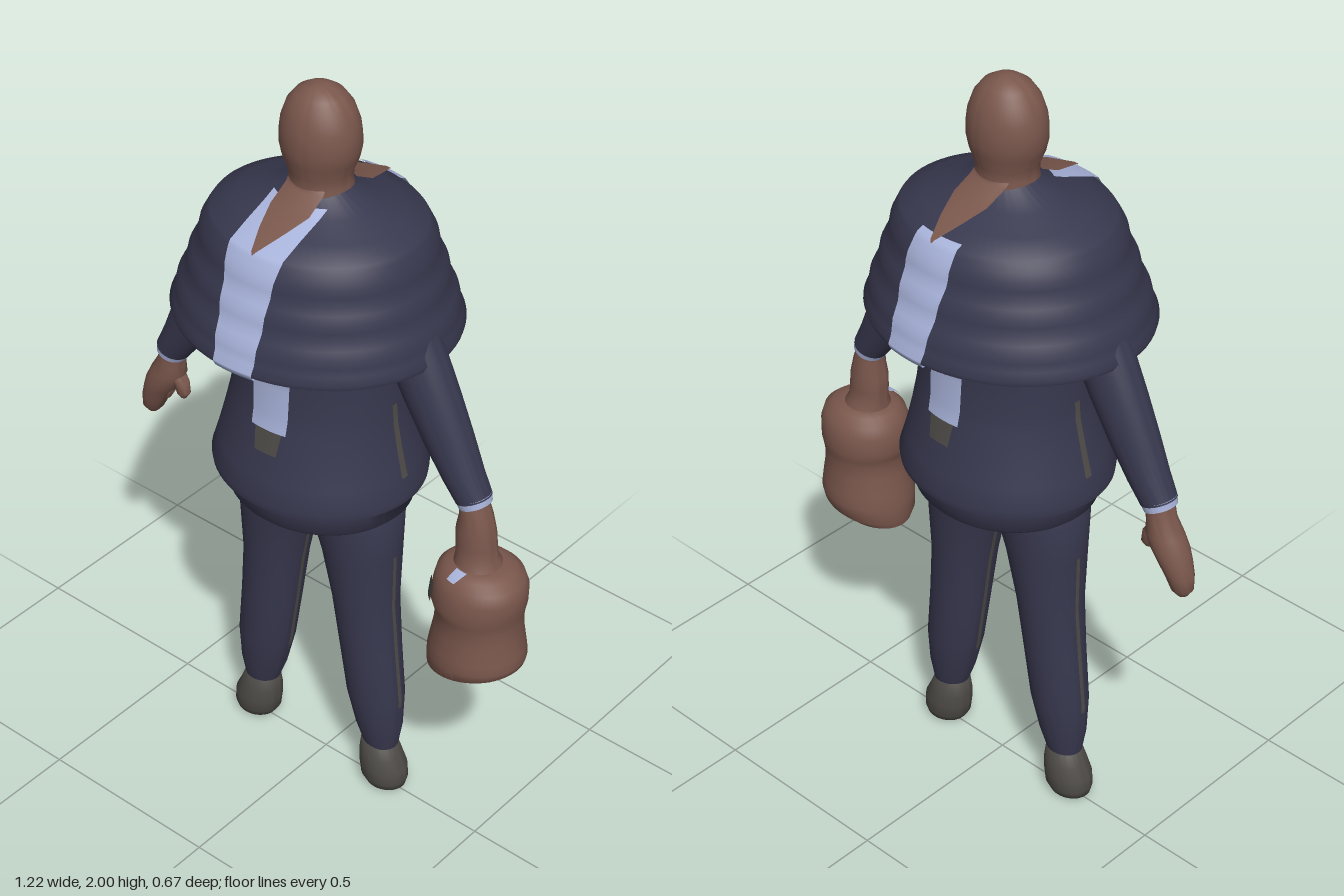
import * as THREE from 'three';
import { toCreasedNormals } from 'three/addons/utils/BufferGeometryUtils.js';

const material = (name, color) => new THREE.MeshStandardMaterial({ name, color, side: THREE.DoubleSide });

// Horizontal elliptical sections, top to bottom: [y, centreX, radiusX, radiusZ, tilt, centreZ]
function loft(rows, seg = 48) {
  const first = rows[0], last = rows[rows.length - 1];
  const all = [[first[0], first[1], 0.0005, 0.0005, first[4]], ...rows, [last[0], last[1], 0.0005, 0.0005, last[4]]];
  const pos = [], idx = [];
  all.forEach(([y, cx, rx, rz, tilt = 0, cz = 0]) => {
    for (let j = 0; j <= seg; j++) {
      const a = (j % seg) / seg * Math.PI * 2, dx = rx * Math.cos(a);
      pos.push(cx + dx, y + tilt * dx, cz + rz * Math.sin(a));
    }
  });
  for (let i = 0; i < all.length - 1; i++) for (let j = 0; j < seg; j++) {
    const a = i * (seg + 1) + j, b = a + seg + 1;
    idx.push(a + 1, b + 1, b, a + 1, b, a);
  }
  const g = new THREE.BufferGeometry();
  g.setAttribute('position', new THREE.Float32BufferAttribute(pos, 3));
  g.setIndex(idx);
  return toCreasedNormals(g, 0.75);
}

// Linear lookup in rows sorted by falling y
function sample(rows, y) {
  if (y >= rows[0][0]) return rows[0];
  for (let i = 1; i < rows.length; i++) if (y >= rows[i][0]) {
    const a = rows[i - 1], b = rows[i], t = (a[0] - y) / (a[0] - b[0]);
    return [0, 1, 2, 3].map(k => (a[k] ?? 0) + ((b[k] ?? 0) - (a[k] ?? 0)) * t);
  }
  return rows[rows.length - 1];
}

// Thin panel lying on a loft: bounds are [y, from, to] across x (axis z) or across z (axis x)
function panel(profile, bounds, axis, side, off = 0.005, n = 10) {
  const top = bounds[0][0], bottom = bounds[bounds.length - 1][0];
  const ys = [...new Set([...bounds, ...profile].map(r => r[0]))].filter(y => y <= top && y >= bottom).sort((a, b) => b - a);
  const pos = [], idx = [], e = 0.002;
  ys.forEach((y, i) => {
    const [, cx, rx, rz] = sample(profile, y), [, u0, u1] = sample(bounds, y);
    const dr = sample(profile, y + e)[3] - sample(profile, y - e)[3], len = Math.hypot(2 * e, dr);
    const out = off * 2 * e / len, up = -off * dr / len;
    for (let j = 0; j <= n; j++) {
      const u = u0 + (u1 - u0) * j / n;
      const k = axis === 'z' ? (u - cx) / (rx + out) : u / (rz + out);
      const s = side * Math.sqrt(Math.max(0, 1 - k * k));
      if (axis === 'z') pos.push(u, y + up, s * (rz + out));
      else pos.push(cx + s * (rx + out), y + up, u);
      if (i && j) {
        const d = i * (n + 1) + j, c = d - 1, b = d - n - 1, a = b - 1;
        if ((axis === 'z') === (side > 0)) idx.push(a, c, d, a, d, b);
        else idx.push(a, d, c, a, b, d);
      }
    }
  });
  const g = new THREE.BufferGeometry();
  g.setAttribute('position', new THREE.Float32BufferAttribute(pos, 3));
  g.setIndex(idx);
  g.computeVertexNormals();
  return g;
}

// Mirror sections about x = c
const mirror = (rows, c) => rows.map(([y, cx, rx, rz, tilt = 0, cz = 0]) => [y, 2 * c - cx, rx, rz, -tilt, cz]);

export function createModel() {
  const model = new THREE.Group();
  const navy = material('navy cloth', 0x38384f), skin = material('brown skin', 0x7a574c);
  const blue = material('pale blue shirt', 0xa9b4db), grey = material('dark grey leather', 0x4e4b47);
  const add = (name, geometry, mat) => {
    const m = new THREE.Mesh(geometry, mat);
    m.name = name;
    model.add(m);
  };

  // Shoulders, rippled cape and jacket in one outline
  const cape = [];
  for (let i = 0; i <= 12; i++) {
    const t = i / 12, w = 0.003 * Math.sin(i * Math.PI / 2);
    cape.push([1.64 - 0.235 * t, -0.021 - 0.006 * t, 0.28 + 0.085 * t + w, 0.25 + 0.079 * t + w]);
  }
  const torso = [
    [1.77, -0.015, 0.06, 0.055], [1.745, -0.015, 0.085, 0.07], [1.715, -0.02, 0.15, 0.12],
    [1.69, -0.02, 0.21, 0.18], [1.665, -0.02, 0.265, 0.235], [1.655, -0.02, 0.272, 0.242],
    ...cape,
    [1.393, -0.027, 0.362, 0.326], [1.386, -0.017, 0.22, 0.2], [1.28, -0.016, 0.219, 0.196],
    [1.2, -0.015, 0.226, 0.2], [1.17, -0.015, 0.228, 0.206], [1.1, -0.017, 0.243, 0.22],
    [1.03, -0.018, 0.26, 0.238], [0.975, -0.018, 0.277, 0.253], [0.955, -0.018, 0.275, 0.25],
    [0.935, -0.015, 0.247, 0.222], [0.89, -0.015, 0.24, 0.216], [0.878, -0.015, 0.228, 0.205],
  ];
  add('jacket and cape', loft(torso, 72), navy);

  // Shirt front, open neck and buckle, repeated on the back
  for (const side of [1, -1]) {
    const face = side > 0 ? 'front' : 'back';
    const collar = side > 0 ? [[1.73, -0.09, 0.065], [1.66, -0.09, 0.065]] : [[1.672, -0.08, 0.045]];
    add(face + ' shirt', panel(torso, [...collar, [1.6, -0.08, 0.058], [1.4, -0.058, 0.052],
      [1.16, -0.053, 0.048]], 'z', side), blue);
    add(face + ' open neck', panel(torso, [[1.757, -0.07, 0.04], [1.715, -0.065, 0.045],
      [1.69, -0.043, 0.022], [1.66, -0.012, -0.01]], 'z', side, 0.009), skin);
    add(face + ' buckle', panel(torso, [[1.16, -0.04, 0.037], [1.1, -0.033, 0.03]], 'z', side), grey);
    add('jacket side seam', panel(torso, [[1.22, -0.008, 0.008], [1.02, -0.01, 0.01]], 'x', side, 0.003, 3), grey);
  }

  // Head and neck
  add('head', loft([
    [2, -0.016, 0.012, 0.012], [1.993, -0.016, 0.035, 0.032], [1.978, -0.016, 0.06, 0.054],
    [1.95, -0.016, 0.082, 0.073], [1.91, -0.016, 0.096, 0.086], [1.88, -0.016, 0.1, 0.089],
    [1.85, -0.016, 0.1, 0.09], [1.82, -0.016, 0.093, 0.085], [1.785, -0.016, 0.078, 0.074],
    [1.76, -0.015, 0.077, 0.072], [1.72, -0.015, 0.085, 0.078],
  ]), skin);

  // Legs, shoes, arms and cuffs, mirrored
  const leg = [
    [0.9, -0.13, 0.11, 0.125], [0.87, -0.134, 0.12, 0.12], [0.75, -0.151, 0.102, 0.102],
    [0.6, -0.165, 0.086, 0.085], [0.45, -0.182, 0.082, 0.076], [0.3, -0.201, 0.078, 0.07],
    [0.2, -0.213, 0.065, 0.056], [0.135, -0.22, 0.048, 0.042],
  ];
  const shoe = [
    [0.165, -0.215, 0.025, 0.02], [0.14, -0.219, 0.049, 0.043], [0.1, -0.225, 0.058, 0.053],
    [0.065, -0.234, 0.066, 0.057], [0.03, -0.238, 0.065, 0.056], [0.01, -0.242, 0.056, 0.048],
    [0, -0.243, 0.042, 0.035],
  ];
  const arm = [
    [1.6, -0.22, 0.075, 0.06], [1.4, -0.318, 0.08, 0.064, -0.1], [1.3, -0.37, 0.071, 0.062, -0.2],
    [1.2, -0.423, 0.061, 0.056, -0.3], [1.12, -0.467, 0.05, 0.05, -0.35], [1.065, -0.502, 0.042, 0.045, -0.4],
  ];
  const cuff = [[1.07, -0.5, 0.042, 0.045, -0.4], [1.05, -0.508, 0.038, 0.042, -0.4]];
  for (const side of ['right', 'left']) {
    const place = (rows, c) => side === 'right' ? rows : mirror(rows, c);
    add(side + ' leg', loft(place(leg, -0.017)), navy);
    add(side + ' shoe', loft(place(shoe, -0.019)), grey);
    add(side + ' arm', loft(place(arm, -0.024)), navy);
    add(side + ' cuff', loft(place(cuff, -0.024)), blue);
    for (const s of [1, -1]) add(side + ' trouser seam',
      panel(place(leg, -0.017), [[0.76, -0.006, 0.006], [0.28, -0.006, 0.006]], 'x', s, 0.003, 3), grey);
  }

  // Free right hand with curled fingers
  add('right hand', loft([
    [1.055, -0.505, 0.034, 0.036, -0.4], [1.02, -0.512, 0.036, 0.037, -0.2], [0.985, -0.524, 0.05, 0.043],
    [0.95, -0.541, 0.05, 0.045], [0.92, -0.557, 0.043, 0.042], [0.885, -0.573, 0.037, 0.035],
    [0.85, -0.583, 0.028, 0.028], [0.832, -0.585, 0.014, 0.014],
  ], 24), skin);
  add('right thumb', loft([[1.0, -0.51, 0.025, 0.025], [0.965, -0.482, 0.021, 0.021],
    [0.935, -0.475, 0.018, 0.018], [0.92, -0.475, 0.008, 0.008]], 16), skin);
  add('right finger', loft([[0.96, -0.525, 0.022, 0.022], [0.92, -0.527, 0.018, 0.018],
    [0.895, -0.532, 0.008, 0.008]], 16), skin);

  // Left hand gripping the bag
  add('left hand', loft([
    [1.055, 0.455, 0.034, 0.036, 0.4], [1.02, 0.463, 0.042, 0.04, 0.1], [0.98, 0.465, 0.051, 0.045],
    [0.94, 0.467, 0.053, 0.046], [0.91, 0.47, 0.053, 0.047], [0.88, 0.476, 0.062, 0.062],
  ], 32), skin);
  const bag = [
    [0.888, 0.48, 0.06, 0.06], [0.88, 0.482, 0.088, 0.08], [0.86, 0.485, 0.11, 0.1],
    [0.83, 0.486, 0.118, 0.11], [0.785, 0.481, 0.12, 0.115], [0.76, 0.483, 0.113, 0.11],
    [0.74, 0.485, 0.109, 0.106], [0.7, 0.484, 0.112, 0.107], [0.65, 0.483, 0.121, 0.114],
    [0.62, 0.482, 0.126, 0.117, 0.04], [0.588, 0.48, 0.125, 0.113, 0.18],
    [0.57, 0.474, 0.115, 0.094, 0.2], [0.556, 0.452, 0.075, 0.058, 0.15],
  ];
  add('bag', loft(bag), skin);
  add('bag clasp', panel(bag, [[0.835, 0.388, 0.412], [0.81, 0.375, 0.412], [0.78, 0.385, 0.405]], 'z', 1), grey);
  add('bag tag', panel(bag, [[0.887, 0.458, 0.49], [0.868, 0.45, 0.475]], 'z', 1), blue);

  return model;
}
